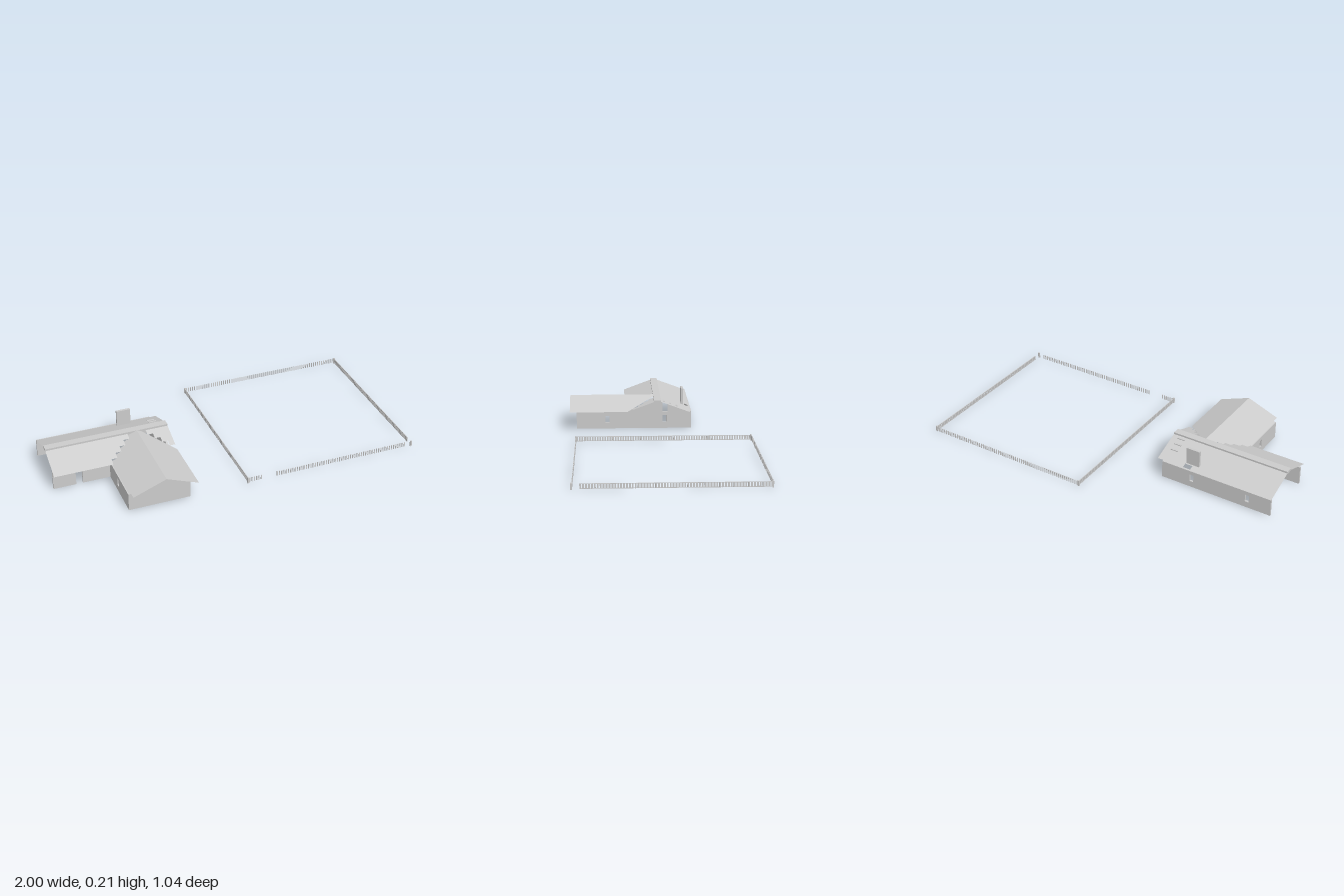
import * as THREE from 'three';
import { mergeGeometries } from 'three/addons/utils/BufferGeometryUtils.js';

const grey = new THREE.MeshStandardMaterial({ color: 0xcccccc, side: THREE.DoubleSide, flatShading: true });
const T = 0.012; // wall thickness
const RIDGE_X = -0.48; // ridge line of the front wing

const toShape = (pts) => new THREE.Shape(pts.map(([a, b]) => new THREE.Vector2(a, b)));

function rectHole(a0, a1, b0, b1) {
  return new THREE.Path([[a0, b0], [a0, b1], [a1, b1], [a1, b0]].map(([a, b]) => new THREE.Vector2(a, b)));
}

function box(x0, x1, y0, y1, z0, z1) {
  const g = new THREE.BoxGeometry(x1 - x0, y1 - y0, z1 - z0);
  return g.translate((x0 + x1) / 2, (y0 + y1) / 2, (z0 + z1) / 2);
}

// Wall drawn as (x, y) outline, or (z, y) outline when alongZ is set
function wall(pts, at, windows = [], alongZ = false) {
  const shape = toShape(pts);
  for (const c of windows) shape.holes.push(rectHole(c - 0.012, c + 0.012, 0.035, 0.078));
  const g = new THREE.ExtrudeGeometry(shape, { depth: T, bevelEnabled: false });
  if (alongZ) return g.rotateY(-Math.PI / 2).translate(at, 0, 0);
  return g.translate(0, 0, at);
}

// Thin roof sheet from a plan outline in (x, z), lifted by a height rule
function roofSheet(plan, height, hole) {
  const shape = toShape(plan.map(([x, z]) => [x, -z]));
  if (hole) shape.holes.push(rectHole(hole[0], hole[1], -hole[3], -hole[2]));
  const g = new THREE.ShapeGeometry(shape).rotateX(-Math.PI / 2);
  const p = g.attributes.position;
  for (let i = 0; i < p.count; i++) p.setY(i, height(p.getX(i), p.getZ(i)));
  g.computeVertexNormals();
  return g;
}

const mainHeight = (x, z) => 0.165 - 0.37 * (Math.abs(z) - 0.02);
const wingHeight = (x) => 0.175 - 0.385 * Math.abs(x - RIDGE_X);

// Stepped valley between the two roofs, going outward from the ridge
function valley(side, reach) {
  const pts = [], n = 5, d0 = 0.02, step = (reach - d0) / n;
  for (let k = 0; k < n; k++) {
    const d = d0 + k * step;
    pts.push([RIDGE_X + side * d, d], [RIDGE_X + side * (d + step), d]);
  }
  pts.push([RIDGE_X + side * reach, reach]);
  return pts;
}

const rectPts = (a0, a1, h) => [[a0, 0], [a1, 0], [a1, h], [a0, h]];

// Row of pickets along x or z, leaving out a gap
function pickets(along, at, from, to, pitch, width, gap) {
  const parts = [];
  const n = Math.round((to - from) / pitch);
  for (let i = 0; i <= n; i++) {
    const c = from + (to - from) * i / n, w = width / 2;
    if (gap && c > gap[0] && c < gap[1]) continue;
    parts.push(along === 'x'
      ? box(c - w, c + w, 0.004, 0.031, at - 0.002, at + 0.002)
      : box(at - 0.002, at + 0.002, 0.004, 0.031, c - w, c + w));
  }
  return parts;
}

export function createModel() {
  const root = new THREE.Group();
  const house = new THREE.Group();
  house.name = 'house';
  const fence = new THREE.Group();
  fence.name = 'fence';
  root.add(house, fence);
  const add = (group, name, geometry) => {
    const m = new THREE.Mesh(geometry, grey);
    m.name = name;
    group.add(m);
  };

  // Walls
  add(house, 'backWall', wall(rectPts(-1, -0.335, 0.1), -0.2, [-0.86, -0.52]));
  add(house, 'frontWallOuter', wall(rectPts(-1, -0.873, 0.108), 0.14));
  add(house, 'frontWallInner', wall(rectPts(-0.835, -0.668, 0.108), 0.14));
  add(house, 'wingOuterWall', wall(rectPts(0.14, 0.48, 0.1), -0.668, [0.297], true));
  add(house, 'wingGableWall', wall(
    [[-0.68, 0], [-0.335, 0], [-0.335, 0.115], [RIDGE_X, 0.168], [-0.68, 0.098]], 0.468));
  add(house, 'longSideWall', wall(
    [[-0.2, 0], [0.48, 0], [0.48, 0.105], [0.18, 0.105], [0.02, 0.16], [-0.03, 0.16], [-0.03, 0.1],
      [-0.06, 0.1], [-0.06, 0.147], [-0.2, 0.098]], -0.335, [0.297, -0.04], true));

  // Main roof
  add(house, 'mainRoofBack', roofSheet(
    [[-1, -0.02], [-0.3, -0.02], [-0.3, -0.19], [-0.335, -0.19], [-0.335, -0.2], [-1, -0.2]],
    mainHeight, [-0.505, -0.46, -0.19, -0.166]));
  add(house, 'mainRoofFrontOuter', roofSheet(
    [[-1, 0.02], ...valley(-1, 0.19), [-1, 0.19]], mainHeight));
  add(house, 'mainRoofFrontInner', roofSheet(
    [...valley(1, 0.18), [-0.3, 0.02]], mainHeight));
  add(house, 'ridgeCap', box(-1, -0.3, 0.16, 0.175, -0.02, 0.022));
  for (const z of [-0.112, -0.074, -0.036]) {
    const y = mainHeight(0, z);
    add(house, 'roofBatten', box(-0.38, -0.335, y - 0.004, y + 0.003, z - 0.005, z + 0.005));
  }

  // Wing roof
  add(house, 'wingRoofOuter', roofSheet(
    [[RIDGE_X, 0], ...valley(-1, 0.19), [-0.68, 0.19], [-0.68, 0.48], [-0.665, 0.48],
      [-0.665, 0.52], [RIDGE_X, 0.52]], wingHeight));
  add(house, 'wingRoofInner', roofSheet(
    [[RIDGE_X, 0], [-0.3, 0.18], [-0.3, 0.52], [RIDGE_X, 0.52]], wingHeight));

  // Chimney slab
  add(house, 'chimney', box(-0.543, -0.463, 0.108, 0.211, -0.16, -0.146));

  // Fence: picket rows, rails on the two sides, corner posts
  add(fence, 'frontPickets', mergeGeometries(pickets('x', 0.477, 0.01, 0.955, 0.0135, 0.005, [0.085, 0.165])));
  add(fence, 'backPickets', mergeGeometries(pickets('x', -0.523, 0.01, 0.99, 0.0135, 0.005)));
  for (const [x, end] of [[0, 0.47], [0.995, 0.435]]) {
    add(fence, 'sidePickets', mergeGeometries(pickets('z', x, -0.515, end, 0.0145, 0.009)));
    for (const y of [0.004, 0.028]) {
      add(fence, 'sideRail', box(x - 0.0015, x + 0.0015, y, y + 0.003, -0.52, end));
    }
    for (const z of [-0.52, 0.48]) {
      add(fence, 'cornerPost', box(x - 0.005, x + 0.005, 0, 0.034, z - 0.004, z + 0.004));
    }
  }
  return root;
}
